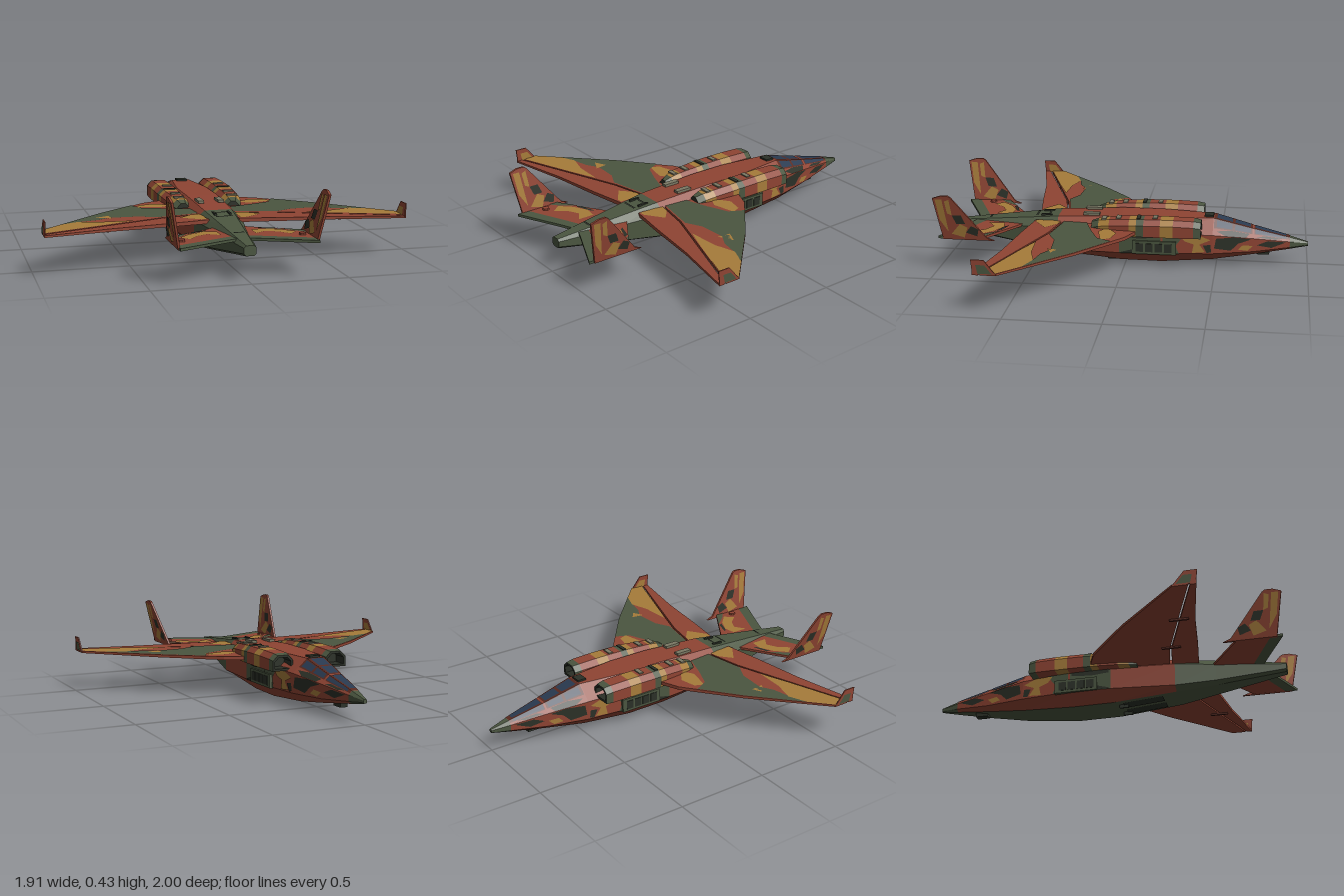
import * as THREE from 'three';

const mat = (name, color, side = THREE.FrontSide) => {
  const m = new THREE.MeshStandardMaterial({ color, side, flatShading: true });
  m.name = name;
  return m;
};

export function createModel() {
  const root = new THREE.Group();
  root.name = 'jetAircraft';
  const red = mat('rust red', 0x8f4433), ochre = mat('ochre', 0xa67c3a), green = mat('olive green', 0x4b5640);
  const dark = mat('dark green', 0x2b3027), glass = mat('canopy blue', 0x293a50), grey = mat('panel grey', 0x7b7964);
  const brown = mat('dark red', 0x59291f);

  const add = (name, geo, material) => {
    geo.computeVertexNormals();
    const mesh = new THREE.Mesh(geo, material);
    mesh.name = name;
    root.add(mesh);
  };
  // Reverse the corner order of every triangle
  const flip = (geo) => {
    const idx = geo.index ? [...geo.index.array] : [...Array(geo.attributes.position.count).keys()];
    for (let i = 0; i < idx.length; i += 3) [idx[i + 1], idx[i + 2]] = [idx[i + 2], idx[i + 1]];
    geo.setIndex(idx);
    return geo;
  };
  // Add a part on the left and its mirror image on the right
  const pair = (name, geo, material) => {
    add(name + 'Left', geo, material);
    add(name + 'Right', flip(geo.clone().scale(-1, 1, 1)), material);
  };
  const box = (w, h, d, x, y, z) => new THREE.BoxGeometry(w, h, d).translate(x, y, z);

  // Skin a row of rings, with one material index per facet; both ends are capped
  const loft = (rings, pick, startMat, endMat) => {
    const geo = new THREE.BufferGeometry(), pos = [], n = rings[0].length;
    const put = (m, ...pts) => {
      geo.addGroup(pos.length / 3, pts.length, m);
      pts.forEach((p) => pos.push(...p));
    };
    for (let i = 0; i < rings.length - 1; i++) for (let j = 0; j < n; j++) {
      const k = (j + 1) % n, a = rings[i], b = rings[i + 1];
      put(pick(i, j), a[j], b[j], b[k], a[j], b[k], a[k]);
    }
    const s = rings[0], e = rings[rings.length - 1];
    for (let j = 1; j < n - 1; j++) {
      put(startMat, s[0], s[j], s[j + 1]);
      put(endMat, e[0], e[j + 1], e[j]);
    }
    geo.setAttribute('position', new THREE.Float32BufferAttribute(pos, 3));
    return geo;
  };

  // Fuselage stations: z, top half-width, top y, side half-width, side top y, side bottom y, belly half-width, belly y
  const stations = [
    [-1, 0.006, 0.133, 0.01, 0.127, 0.118, 0.006, 0.112],
    [-0.9, 0.018, 0.16, 0.036, 0.14, 0.108, 0.02, 0.095],
    [-0.7, 0.035, 0.208, 0.08, 0.165, 0.09, 0.05, 0.066],
    [-0.48, 0.05, 0.264, 0.13, 0.19, 0.085, 0.08, 0.038],
    [-0.2, 0.085, 0.266, 0.16, 0.2, 0.085, 0.1, 0.02],
    [0.03, 0.085, 0.266, 0.16, 0.2, 0.08, 0.1, 0.022],
    [0.38, 0.075, 0.25, 0.13, 0.2, 0.075, 0.09, 0.053],
    [0.6, 0.055, 0.228, 0.09, 0.19, 0.098, 0.06, 0.083],
    [0.97, 0.02, 0.19, 0.032, 0.178, 0.15, 0.02, 0.138],
  ];
  const hullRing = ([z, tw, ty, mw, my, ly, bw, by]) => [
    [tw, ty, z], [mw, my, z], [mw, ly, z], [bw, by, z],
    [-bw, by, z], [-mw, ly, z], [-mw, my, z], [-tw, ty, z]];
  const hullMats = [red, green];
  add('fuselage', loft(stations.map(hullRing), (i, j) =>
    (i === 0 || i > 5 || j === 3 || (i === 4 && (j === 1 || j === 5)) ? 1 : 0), 1, 1), hullMats);

  // Thin plate on a fuselage facet, outlined by [z, fraction across the facet]
  const hullPoint = (z, facet, v) => {
    let i = 0;
    while (i < stations.length - 2 && stations[i + 1][0] < z) i++;
    const a = stations[i], b = stations[i + 1], t = (z - a[0]) / (b[0] - a[0]);
    const r = hullRing(a.map((q, n) => q + (b[n] - q) * t)).map((p) => new THREE.Vector3(...p));
    return r[facet].lerp(r[(facet + 1) % 8], v);
  };
  const shape = (pts) => new THREE.Shape(pts.map(([a, b]) => new THREE.Vector2(a, b)));
  const plate = (facet, pts, lift = 0.004) => {
    const geo = new THREE.ShapeGeometry(shape(pts)), p = geo.attributes.position;
    for (let i = 0; i < p.count; i++) {
      const z = p.getX(i), v = p.getY(i), q = hullPoint(z, facet, v);
      const across = hullPoint(z, facet, 1).sub(hullPoint(z, facet, 0));
      const out = new THREE.Vector3(0, 0, 1).cross(across).normalize();
      q.addScaledVector(out, lift);
      p.setXYZ(i, q.x, q.y, q.z);
    }
    return geo;
  };
  const rect = (z0, z1, v0, v1) => [[z0, v0], [z1, v0], [z1, v1], [z0, v1]];

  // Canopy panes, with dark frames beneath them
  for (const [z0, z1] of [[-0.9, -0.705], [-0.695, -0.485]]) {
    add('canopyFrameTop', plate(7, rect(z0, z1, 0, 1), 0.002), brown);
    pair('canopyFrameSide', plate(0, rect(z0, z1, 0, 0.58), 0.002), brown);
  }
  for (const [z0, z1] of [[-0.88, -0.71], [-0.685, -0.6], [-0.585, -0.5]]) {
    add('canopyTopPane', plate(7, rect(z0, z1, 0.12, 0.88)), glass);
    pair('canopySidePane', plate(0, rect(z0, z1, 0.08, 0.5)), glass);
  }
  add('canopyFairing', box(0.06, 0.012, 0.05, 0, 0.268, -0.455), dark);

  // Camouflage on the nose and flanks
  const blobs = [
    [0, dark, [[-0.68, 0.62], [-0.58, 0.6], [-0.5, 0.75], [-0.55, 1], [-0.66, 1]]],
    [0, dark, [[-0.86, 0.62], [-0.76, 0.64], [-0.72, 0.9], [-0.82, 0.95]]],
    [1, dark, [[-0.69, 0.05], [-0.6, 0], [-0.5, 0.15], [-0.49, 0.7], [-0.58, 0.85], [-0.62, 0.4]]],
    [1, ochre, [[-0.47, 0.25], [-0.4, 0], [-0.3, 0.05], [-0.33, 0.35], [-0.38, 0.5], [-0.37, 0.95], [-0.44, 0.9], [-0.41, 0.5]]],
    [1, dark, [[-0.47, 0.5], [-0.43, 0.55], [-0.45, 0.95], [-0.475, 0.9]]],
    [1, green, [[-0.33, 0], [-0.21, 0], [-0.21, 1], [-0.3, 1], [-0.28, 0.6]]],
    [1, dark, [[-0.88, 0.1], [-0.78, 0.1], [-0.72, 0.5], [-0.8, 0.8]]],
    [1, ochre, [[-0.7, 0.55], [-0.645, 0.5], [-0.62, 0.8], [-0.67, 0.9]]],
    [1, dark, [[-0.19, 0], [0.02, 0], [0.02, 0.2], [-0.08, 0.28], [-0.19, 0.2]]],
    [1, dark, [[-0.19, 0.85], [-0.05, 0.8], [0.02, 0.95], [0.02, 1], [-0.19, 1]]],
  ];
  blobs.forEach(([facet, m, pts]) => pair('hullCamouflage', plate(facet, pts), m));

  // Side grilles
  pair('grilleFrame', box(0.02, 0.075, 0.24, 0.159, 0.118, -0.165), green);
  for (let i = 0; i < 4; i++) pair('grilleSlot', box(0.006, 0.048, 0.042, 0.169, 0.118, -0.24 + i * 0.052), dark);

  // Deck and belly fittings
  pair('deckPanel', box(0.032, 0.014, 0.09, 0.055, 0.267, 0.195), grey);
  pair('tailDeckPanel', box(0.012, 0.01, 0.06, 0.04, 0.246, 0.45), dark);
  [0.43, 0.5, 0.77].forEach((z) => add('tailDeckStrip', plate(7, rect(z, z + 0.012, 0.15, 0.85)), dark));
  add('noseSensor', box(0.04, 0.03, 0.07, 0, 0.07, -0.755), dark);
  pair('bellyDoor', plate(3, rect(0.08, 0.3, 0.1, 0.44)), dark);
  pair('bellyAerial', box(0.008, 0.03, 0.05, 0.05, 0.021, 0.08), dark);

  // Engine pods on the shoulders: z, inner x, outer x, top y
  const podRing = ([z, x0, x1, y1], s = 0) => {
    const a = x0 + s, b = x1 - s, t = y1 - s, y0 = 0.195 + s, c = 0.028 - s * 0.5;
    return [[b - c, t, z], [b, t - c, z], [b, y0, z], [a, y0, z], [a, t - c, z], [a + c, t, z]];
  };
  const pod = [
    [-0.42, 0.098, 0.215, 0.278], [-0.38, 0.09, 0.22, 0.284], [-0.27, 0.09, 0.222, 0.287], [-0.2, 0.09, 0.222, 0.287],
    [-0.11, 0.09, 0.222, 0.286], [-0.07, 0.09, 0.22, 0.285], [-0.03, 0.09, 0.218, 0.283], [0.08, 0.092, 0.208, 0.276],
    [0.14, 0.095, 0.195, 0.266], [0.18, 0.1, 0.18, 0.252]];
  const podBands = [3, 3, 1, 0, 2, 0, 1, 2, 0, 2, 1];
  pair('enginePod', loft([podRing([-0.34, 0.098, 0.215, 0.278], 0.012), podRing(pod[0], 0.012), ...pod.map((p) => podRing(p))],
    (i) => podBands[i], 3, 3), [red, green, ochre, dark]);
  [[-0.17, 0.289], [0.03, 0.282], [0.11, 0.275]].forEach(([z, y]) =>
    pair('podVent', box(0.055, 0.008, 0.025, 0.15, y, z), grey));
  pair('podStripe', box(0.07, 0.006, 0.02, 0.155, 0.287, -0.08), dark);

  // Thin slabs and paint patches share a mapping from (a, z, side) to space
  const wingMap = (x, z, s, lift) => [x, 0.216 + s * (0.011 - 0.006 * x) + lift, z];
  const tailMap = (x, z, s, lift) => [x, 0.193 + s * 0.007 + lift, z];
  const finMap = (y, z, s, lift) => [0.35 + (y - 0.19) * 0.18 + s * 0.006 + lift, y, z];
  const tipMap = (y, z, s, lift) => [0.947 + s * 0.003 + lift, y, z];
  // Outlines are [x, z] for level surfaces and [y, z] for upright ones
  const sheet = (name, pts, map, m, side = 0) => {
    const level = map === wingMap || map === tailMap;
    const s2 = shape(pts.map(([a, z]) => (level ? [a, -z] : [-z, a])));
    const geo = side ? new THREE.ShapeGeometry(s2) : new THREE.ExtrudeGeometry(s2, { depth: 1, bevelEnabled: false });
    const p = geo.attributes.position;
    for (let i = 0; i < p.count; i++) {
      const a = level ? p.getX(i) : p.getY(i), z = level ? -p.getY(i) : -p.getX(i);
      p.setXYZ(i, ...map(a, z, side || p.getZ(i) * 2 - 1, side * 0.003));
    }
    pair(name, side < 0 ? flip(geo) : geo, m);
  };

  // Wings, flaps and tip fences
  sheet('wing', [[0.08, -0.12], [0.2, -0.075], [0.32, -0.025], [0.6, 0.2], [0.95, 0.53], [0.95, 0.61], [0.6, 0.49], [0.3, 0.388], [0.08, 0.345]], wingMap, red);
  sheet('flap', [[0.08, 0.355], [0.3, 0.398], [0.6, 0.5], [0.95, 0.62], [0.95, 0.65], [0.6, 0.58], [0.3, 0.54], [0.08, 0.505]], wingMap, red);
  sheet('wingGreen', [[0.4, 0.04], [0.6, 0.2], [0.84, 0.426], [0.74, 0.39], [0.64, 0.37], [0.57, 0.33], [0.42, 0.34], [0.33, 0.385], [0.09, 0.34], [0.09, 0.22], [0.24, 0.17], [0.36, 0.12]], wingMap, green, 1);
  sheet('wingOchreRoot', [[0.18, 0.09], [0.27, 0.03], [0.36, 0.05], [0.38, 0.1], [0.25, 0.13]], wingMap, ochre, 1);
  sheet('wingOchreTip', [[0.95, 0.53], [0.84, 0.426], [0.74, 0.385], [0.62, 0.42], [0.45, 0.43], [0.6, 0.488], [0.95, 0.608]], wingMap, ochre, 1);
  sheet('wingOchreSpot', [[0.57, 0.28], [0.64, 0.31], [0.6, 0.33], [0.56, 0.35]], wingMap, ochre, 1);
  sheet('flapOchre', [[0.09, 0.36], [0.15, 0.37], [0.22, 0.43], [0.12, 0.5], [0.09, 0.5]], wingMap, ochre, 1);
  sheet('tipFence', [[0.215, 0.53], [0.29, 0.59], [0.29, 0.655], [0.24, 0.65], [0.215, 0.65]], tipMap, red);
  for (const s of [-1, 1]) sheet('tipFenceOchre', [[0.22, 0.55], [0.265, 0.585], [0.265, 0.63], [0.22, 0.62]], tipMap, s > 0 ? green : ochre, s);
  [[0.32, 0.4], [0.62, 0.5]].forEach(([x, z]) => pair('flapHinge', box(0.012, 0.014, 0.1, x, 0.206, z), brown));

  // Tailplane with green elevators
  sheet('tailplane', [[0.03, 0.55], [0.08, 0.58], [0.35, 0.75], [0.35, 0.925], [0.07, 0.805], [0.03, 0.79]], tailMap, red);
  sheet('elevator', [[0.03, 0.79], [0.07, 0.805], [0.35, 0.925], [0.35, 0.99], [0.08, 0.87], [0.03, 0.85]], tailMap, green);
  sheet('tailplaneOchre', [[0.09, 0.68], [0.16, 0.67], [0.24, 0.71], [0.3, 0.77], [0.26, 0.82], [0.21, 0.76], [0.15, 0.73], [0.09, 0.77]], tailMap, ochre, 1);
  sheet('tailplaneGreen', [[0.23, 0.675], [0.35, 0.75], [0.35, 0.8], [0.3, 0.76]], tailMap, green, 1);
  sheet('tailplaneDark', [[0.13, 0.645], [0.22, 0.672], [0.23, 0.695], [0.15, 0.665]], tailMap, dark, 1);
  pair('tailDome', new THREE.CylinderGeometry(0.018, 0.02, 0.02, 8).translate(0.31, 0.2, 0.84), red);

  // Canted fins and rudders at the tailplane tips
  sheet('fin', [[0.185, 0.68], [0.2, 0.72], [0.43, 0.9], [0.44, 0.915], [0.44, 0.945], [0.185, 0.915]], finMap, red);
  sheet('rudder', [[0.185, 0.915], [0.44, 0.945], [0.44, 0.955], [0.425, 1], [0.185, 0.96]], finMap, red);
  const finSpots = [
    [dark, [[0.21, 0.77], [0.25, 0.76], [0.27, 0.8], [0.23, 0.83]]],
    [ochre, [[0.2, 0.84], [0.26, 0.82], [0.28, 0.86], [0.22, 0.91]]],
    [dark, [[0.28, 0.83], [0.33, 0.85], [0.33, 0.9], [0.28, 0.88]]],
    [ochre, [[0.33, 0.9], [0.42, 0.91], [0.41, 0.935], [0.34, 0.925]]],
    [ochre, [[0.23, 0.925], [0.42, 0.948], [0.42, 0.985], [0.3, 0.968]]],
  ];
  for (const s of [-1, 1]) finSpots.forEach(([m, pts]) => sheet('finCamouflage', pts, finMap, m, s));

  return root;
}
